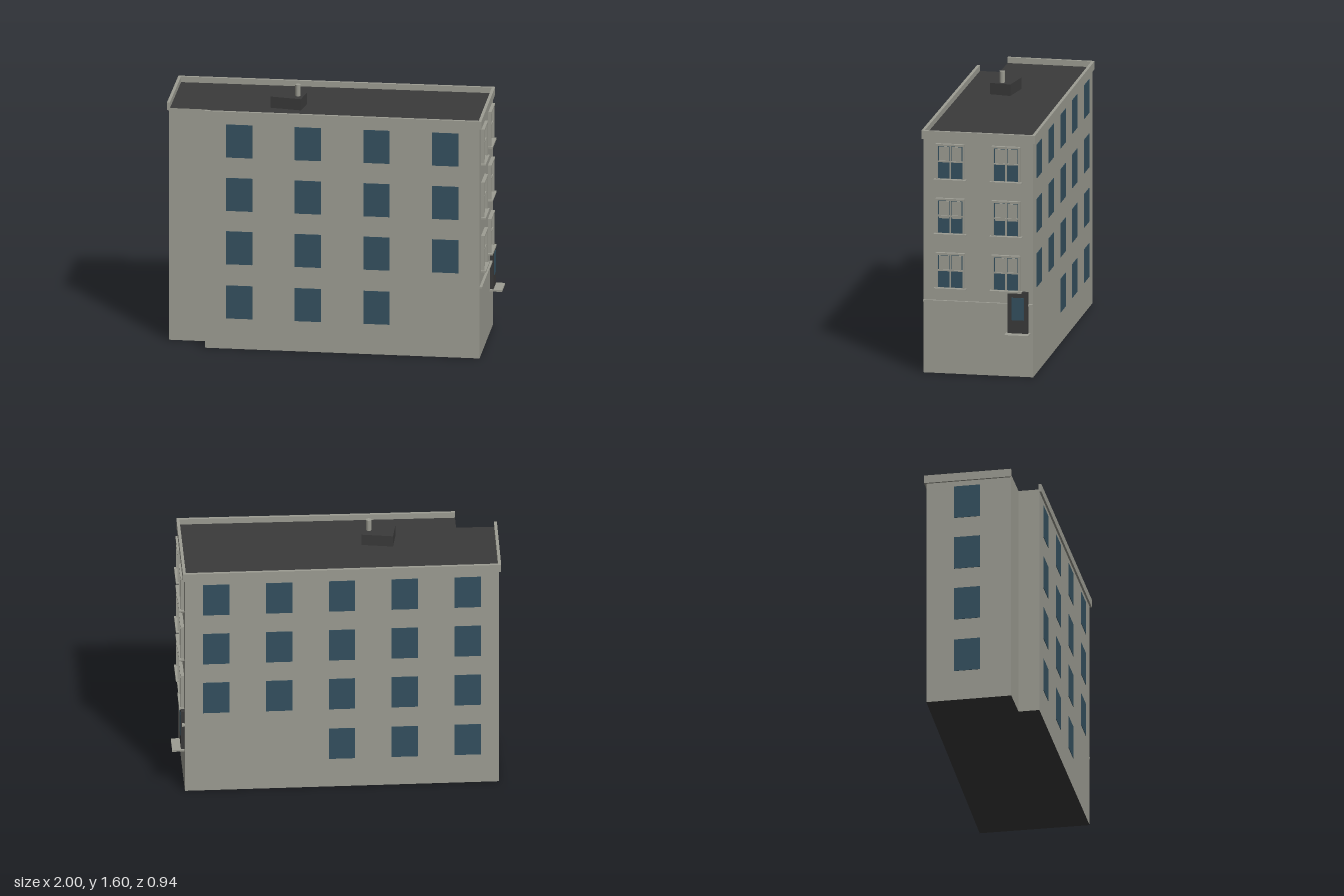
import * as THREE from 'three';

const mat = (name, color) => {
  const m = new THREE.MeshStandardMaterial({ color });
  m.name = name;
  return m;
};

export function createModel() {
  const stone = mat('stone', 0x9d9d93);
  const glass = mat('glass', 0x34505f);
  const dark = mat('dark grey', 0x3a3a3a);
  const model = new THREE.Group();
  model.name = 'building';

  // Footprint corners as [x, z]; the plan is slightly skewed
  const A = [-0.985, -0.14], B = [0.87, -0.458], C = [0.98, 0.2];
  const D = [-0.655, 0.46], E = [-0.675, 0.335], F = [-0.905, 0.37];
  const ROOF = 1.455;

  // Upright prism over a plan outline
  const prism = (name, pts, y, h, material) => {
    const shape = new THREE.Shape(pts.map(([x, z]) => new THREE.Vector2(x, -z)));
    const geo = new THREE.ExtrudeGeometry(shape, { depth: h, bevelEnabled: false });
    geo.rotateX(-Math.PI / 2);
    const mesh = new THREE.Mesh(geo, material);
    mesh.name = name;
    mesh.position.y = y;
    model.add(mesh);
  };

  // Mitred offset of an open path; positive is outward
  const offsetPath = (path, d) => {
    const normals = path.slice(1).map((p, i) =>
      new THREE.Vector2(path[i][1] - p[1], p[0] - path[i][0]).normalize());
    return path.map(([x, z], i) => {
      const n1 = normals[Math.max(i - 1, 0)];
      const n2 = normals[Math.min(i, normals.length - 1)];
      const k = d / (1 + n1.dot(n2));
      return [x + (n1.x + n2.x) * k, z + (n1.y + n2.y) * k];
    });
  };

  // Walls, with dark roof and underside
  prism('walls', [A, B, C, D, E, F], 0, ROOF, [dark, stone]);

  // Parapet around all sides except the recess
  const run = [D, C, B, A, F];
  prism('parapet', [...offsetPath(run, 0.012), ...offsetPath(run, -0.006).reverse()],
    1.44, 0.05, stone);

  // Wall-aligned group: x runs along the wall, z points outward
  const wallGroup = (name, p, q) => {
    const g = new THREE.Group();
    g.name = name;
    g.position.set(p[0], 0, p[1]);
    g.rotation.y = Math.atan2(p[1] - q[1], q[0] - p[0]);
    g.userData.length = Math.hypot(q[0] - p[0], q[1] - p[1]);
    model.add(g);
    return g;
  };

  // Box on a wall, given centre x, bottom y, width, height and depth range
  const block = (parent, name, material, x, y, w, h, z1, z0 = -0.002) => {
    const mesh = new THREE.Mesh(new THREE.BoxGeometry(w, h, z1 - z0), material);
    mesh.name = name;
    mesh.position.set(x, y + h / 2, (z0 + z1) / 2);
    parent.add(mesh);
  };

  const floors = [0.19, 0.53, 0.865, 1.2];
  const WIN_H = 0.207;

  // Plain windows; the ground floor may have fewer
  const plainWindows = (name, p, q, fractions, groundFractions) => {
    const g = wallGroup(name, p, q);
    floors.forEach((y, i) => {
      for (const t of i ? fractions : groundFractions) {
        block(g, 'window', glass, t * g.userData.length, y, 0.158, WIN_H, 0.003);
      }
    });
  };
  plainWindows('frontWindows', D, C, [0.125, 0.375, 0.625, 0.875], [0.125, 0.375, 0.625]);
  plainWindows('backWindows', B, A, [0.1, 0.3, 0.5, 0.7, 0.9], [0.5, 0.7, 0.9]);
  plainWindows('sideWindows', A, F, [0.48], [0.48]);

  // Entrance side: framed sash windows with blinds
  const street = wallGroup('entranceSide', C, B);
  const len = street.userData.length;
  const sashWindow = (x, y, blindY) => {
    const g = new THREE.Group();
    g.name = 'sashWindow';
    g.position.set(x, y, 0);
    street.add(g);
    block(g, 'pane', glass, 0, 0, 0.16, WIN_H, 0.003);
    for (const s of [-1, 1]) {
      block(g, 'blind', stone, s * 0.038, blindY, 0.061, 0.196 - blindY, 0.006);
      block(g, 'jamb', stone, s * 0.082, 0, 0.012, 0.215, 0.02);
    }
    block(g, 'head', stone, 0, 0.203, 0.176, 0.012, 0.022);
    block(g, 'mullion', stone, 0, 0, 0.01, 0.205, 0.012);
    block(g, 'meetingRail', stone, 0, 0.102, 0.155, 0.008, 0.013);
    block(g, 'sill', stone, 0, -0.012, 0.196, 0.01, 0.03);
  };
  const blinds = [0, 0.106, 0.09, 0.1];
  for (const t of [0.245, 0.755]) {
    for (const i of [1, 2, 3]) sashWindow(t * len, floors[i], blinds[i]);
  }

  // String course, door and step
  block(street, 'stringCourse', stone, len / 2, 0.44, len, 0.01, 0.016);
  const doorX = 0.865 * len;
  block(street, 'door', dark, doorX, 0.27, 0.122, 0.255, 0.022);
  block(street, 'doorPane', glass, doorX, 0.352, 0.074, 0.138, 0.025, 0.02);
  block(street, 'doorStep', stone, doorX, 0.26, 0.145, 0.011, 0.075);

  // Roof box and vent pipe
  const box = new THREE.Mesh(new THREE.BoxGeometry(0.19, 0.075, 0.13), dark);
  box.name = 'roofBox';
  box.position.set(-0.23, 1.4875, 0.13);
  const pipe = new THREE.Mesh(new THREE.CylinderGeometry(0.017, 0.017, 0.08, 8), stone);
  pipe.name = 'ventPipe';
  pipe.position.set(-0.172, 1.555, 0.13);
  model.add(box, pipe);

  return model;
}
